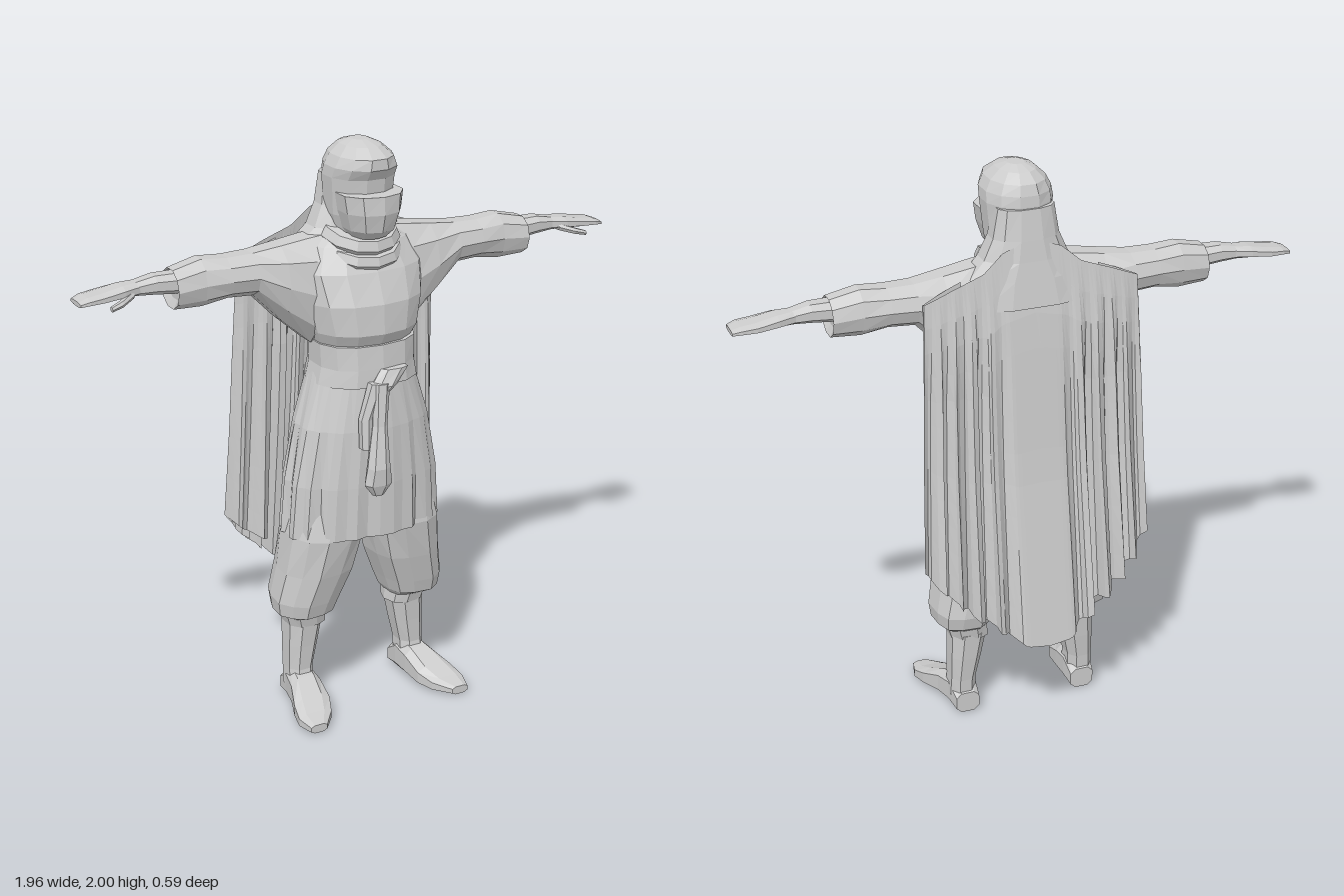
import * as THREE from 'three';

const cloth = new THREE.MeshStandardMaterial({ color: 0xcccccc, flatShading: true, side: THREE.DoubleSide });
cloth.name = 'pale grey cloth';

// Superellipse cross-sections [t, a0, a1, b0, b1] joined along an axis; a and b are bounds.
function loft(name, axis, rings, { n = 10, p = 2.4, caps = true, pleat = () => 1, mirror = 1 } = {}) {
  const pos = [], idx = [];
  const put = (t, a, b) => (axis === 'y' ? pos.push(mirror * a, t, b)
    : axis === 'x' ? pos.push(mirror * t, a, b) : pos.push(mirror * a, b, t));
  const pow = (v) => Math.sign(v) * Math.abs(v) ** (2 / p);
  rings.forEach(([t, a0, a1, b0, b1], r) => {
    for (let i = 0; i < n; i++) {
      const w = (i + 0.5) / n * Math.PI * 2, k = pleat(i, r);
      put(t, (a0 + a1) / 2 + (a1 - a0) / 2 * pow(Math.cos(w)) * k,
        (b0 + b1) / 2 + (b1 - b0) / 2 * pow(Math.sin(w)) * k);
    }
  });
  for (let r = 0; r < rings.length - 1; r++) for (let i = 0; i < n; i++) {
    const a = r * n + i, b = r * n + (i + 1) % n;
    idx.push(a, a + n, b, b, a + n, b + n);
  }
  if (caps) [0, rings.length - 1].forEach((r, e) => {
    const [t, a0, a1, b0, b1] = rings[r], c = pos.length / 3;
    put(t, (a0 + a1) / 2, (b0 + b1) / 2);
    for (let i = 0; i < n; i++) {
      const a = r * n + i, b = r * n + (i + 1) % n;
      idx.push(...(e ? [c, b, a] : [c, a, b]));
    }
  });
  // Turn the surface outward whichever axis or side was used
  const v = (i) => new THREE.Vector3().fromArray(pos, i * 3);
  const o = v(0);
  let vol = 0;
  for (let i = 0; i < idx.length; i += 3) {
    vol += v(idx[i]).sub(o).dot(v(idx[i + 1]).sub(o).cross(v(idx[i + 2]).sub(o)));
  }
  if (vol < 0) idx.reverse();
  return finish(name, pos, idx);
}

function finish(name, pos, idx) {
  let g = new THREE.BufferGeometry();
  g.setAttribute('position', new THREE.Float32BufferAttribute(pos, 3));
  g.setIndex(idx);
  g = g.toNonIndexed();
  g.computeVertexNormals();
  const m = new THREE.Mesh(g, cloth);
  m.name = name;
  return m;
}

// Linear interpolation through [key, value] pairs with rising keys
function along(pts, x) {
  if (x <= pts[0][0]) return pts[0][1];
  for (let i = 1; i < pts.length; i++) {
    if (x <= pts[i][0]) {
      const [x0, y0] = pts[i - 1], [x1, y1] = pts[i];
      return y0 + (y1 - y0) * (x - x0) / (x1 - x0);
    }
  }
  return pts[pts.length - 1][1];
}

// Pleated cape from the shoulders; its outer edges wrap round to the front in loose lobes
function cape() {
  const cols = 80, rows = 12, pos = [], idx = [], bend = 0.74;
  const top = [[0, 1.78], [0.1, 1.75], [0.17, 1.69], [0.28, 1.65], [0.4, 1.6]];
  const hem = [[0, 0.36], [0.08, 0.37], [0.16, 0.43], [0.27, 0.51], [0.36, 0.6], [0.41, 0.67]];
  const back = [[0.36, -0.295], [0.7, -0.245], [1, -0.2], [1.5, -0.155], [1.68, -0.125], [1.78, -0.11]];
  for (let r = 0; r <= rows; r++) for (let c = 0; c <= cols; c++) {
    const u = c / cols * 2 - 1, v = r / rows, s = Math.abs(u);
    const q = Math.min(1, s / bend), k = Math.max(0, (s - bend) / (1 - bend));
    const x = (0.38 + 0.035 * v) * q - 0.14 * k;
    const y = along(top, x) * (1 - v) + (along(hem, x) + 0.06 * k) * v;
    const wave = Math.cos(s * cols / 2 * 1.35 + Math.sin(s * 11) * 0.8);
    const side = Math.min(1, Math.max(0, (x - 0.07) / 0.1)) * Math.min(1, v * 3);
    // Depth runs from the back face to the front of the lobe
    const room = Math.max(0.02, -0.095 - along(back, y));
    const depth = 0.45 * q ** 4 + 0.5 * Math.sqrt(k) + side * (k > 0 ? 0.12 * wave : 0.22 * (1 + wave) * (1 - 0.4 * q ** 4));
    pos.push(Math.sign(u) * (x + 0.006 * side * Math.sin(c * 2.1) * (1 - q ** 8)), y, along(back, y) + room * depth);
  }
  for (let r = 0; r < rows; r++) for (let c = 0; c < cols; c++) {
    const a = r * (cols + 1) + c, b = a + cols + 1;
    idx.push(a, a + 1, b, a + 1, b + 1, b);
  }
  return finish('cape', pos, idx);
}

export function createModel() {
  const model = new THREE.Group();
  model.name = 'robedFigure';

  // Head, face mask and hood drape
  model.add(
    loft('hood', 'y', [[1.66, -0.08, 0.08, -0.1, 0.11], [1.76, -0.108, 0.108, -0.105, 0.14],
      [1.84, -0.115, 0.115, -0.1, 0.15], [1.885, -0.119, 0.119, -0.1, 0.155], [1.92, -0.116, 0.116, -0.097, 0.18],
      [1.955, -0.098, 0.098, -0.085, 0.178], [1.985, -0.065, 0.065, -0.05, 0.13], [2, -0.03, 0.03, 0, 0.07]], { n: 12, p: 2.1 }),
    loft('faceMask', 'y', [[1.69, -0.065, 0.065, 0, 0.16], [1.72, -0.085, 0.085, 0, 0.195],
      [1.78, -0.104, 0.104, 0, 0.21], [1.84, -0.113, 0.113, 0, 0.207]], { n: 10, p: 2.1 }),
    loft('hoodDrape', 'y', [[1.56, -0.25, 0.25, -0.155, 0.04], [1.65, -0.21, 0.21, -0.14, 0.06],
      [1.71, -0.15, 0.15, -0.13, 0.07], [1.78, -0.118, 0.118, -0.12, 0.05], [1.88, -0.1, 0.1, -0.105, 0.02]], { n: 12 }),
  );

  // Scarf rolls round the neck, drooping at the front
  [[0.105, 0.034, 1.69], [0.118, 0.03, 1.645]].forEach(([r, tube, y], i) => {
    const g = new THREE.TorusGeometry(r, tube, 6, 12).rotateX(Math.PI / 2 + 0.3);
    const scarf = new THREE.Mesh(g, cloth);
    scarf.name = 'scarf' + (i + 1);
    scarf.position.set(0, y, 0.035);
    model.add(scarf);
  });

  // Tunic, belt and pleated skirt
  model.add(
    loft('tunic', 'y', [[1.2, -0.17, 0.17, -0.1, 0.19], [1.34, -0.175, 0.175, -0.1, 0.19],
      [1.38, -0.19, 0.19, -0.1, 0.212], [1.48, -0.215, 0.215, -0.115, 0.207], [1.58, -0.23, 0.23, -0.125, 0.165],
      [1.66, -0.19, 0.19, -0.125, 0.12], [1.71, -0.11, 0.11, -0.11, 0.09]], { n: 14, p: 2.2 }),
    loft('belt', 'y', [[1.2, -0.19, 0.19, -0.115, 0.21], [1.26, -0.177, 0.177, -0.11, 0.207],
      [1.34, -0.18, 0.18, -0.105, 0.2]], { n: 14 }),
    loft('skirt', 'y', [[1.23, -0.18, 0.18, -0.11, 0.2], [1.05, -0.24, 0.24, -0.12, 0.215],
      [0.85, -0.282, 0.282, -0.125, 0.217], [0.66, -0.298, 0.298, -0.13, 0.215]],
    { n: 45, p: 2.2, caps: false, pleat: (i, r) => 1 - 0.035 * r * [0, 0.2, 1, 0.1, 0.5][i % 5] }),
    // Sash knot and its hanging tails
    loft('sashKnot', 'y', [[1.17, -0.06, 0, 0.18, 0.24], [1.21, -0.05, 0.04, 0.18, 0.25],
      [1.26, -0.01, 0.09, 0.18, 0.23]], { n: 7 }),
    loft('sashTail', 'y', [[1.22, -0.05, 0.01, 0.19, 0.25], [1.08, -0.06, -0.01, 0.215, 0.265],
      [0.94, -0.09, -0.01, 0.225, 0.295], [0.88, -0.1, 0, 0.225, 0.29], [0.84, -0.07, -0.03, 0.24, 0.275]], { n: 7 }),
    loft('sashLoop', 'y', [[1.22, -0.06, 0, 0.19, 0.24], [1.1, -0.1, -0.05, 0.2, 0.24],
      [1, -0.1, -0.06, 0.205, 0.25]], { n: 6 }),
    cape(),
  );

  for (const s of [1, -1]) {
    const side = new THREE.Group();
    side.name = s > 0 ? 'leftLimbs' : 'rightLimbs';
    const add = (name, axis, rings, opt = {}) => side.add(loft(name, axis, rings, { ...opt, mirror: s }));

    // Wide sleeve, forearm and mitten-like hand
    add('sleeve', 'x', [[0.05, 1.36, 1.71, -0.11, 0.12], [0.18, 1.32, 1.695, -0.125, 0.11],
      [0.28, 1.41, 1.678, -0.12, 0.095], [0.38, 1.515, 1.662, -0.108, 0.075], [0.47, 1.52, 1.66, -0.1, 0.07],
      [0.56, 1.505, 1.668, -0.09, 0.06], [0.66, 1.51, 1.645, -0.08, 0.06], [0.645, 1.54, 1.635, -0.06, 0.045]], { n: 10, p: 2.1 });
    add('forearm', 'x', [[0.62, 1.56, 1.635, -0.06, 0.045], [0.72, 1.57, 1.635, -0.055, 0.035],
      [0.79, 1.575, 1.62, -0.05, 0.025]], { n: 8 });
    add('hand', 'x', [[0.77, 1.575, 1.622, -0.05, 0.025], [0.83, 1.575, 1.618, -0.068, 0.042],
      [0.9, 1.572, 1.605, -0.074, 0.045], [0.95, 1.572, 1.598, -0.068, 0.045], [0.98, 1.57, 1.587, -0.055, 0.035]], { n: 8 });
    add('thumb', 'x', [[0.8, 1.575, 1.6, 0, 0.035], [0.85, 1.562, 1.585, 0.035, 0.065],
      [0.89, 1.555, 1.572, 0.05, 0.072]], { n: 6 });

    // Baggy trouser leg, cuff, shin and foot
    add('trouserLeg', 'y', [[0.9, 0, 0.23, -0.1, 0.15], [0.66, 0.01, 0.285, -0.11, 0.185],
      [0.52, 0.045, 0.305, -0.112, 0.165], [0.41, 0.09, 0.325, -0.115, 0.14], [0.36, 0.11, 0.318, -0.1, 0.125],
      [0.335, 0.13, 0.28, -0.07, 0.08]], { n: 12, pleat: (i, r) => 1 - (r > 1 ? 0.05 * (i % 2) : 0) });
    add('cuff', 'y', [[0.3, 0.125, 0.27, -0.075, 0.068], [0.35, 0.13, 0.285, -0.085, 0.08]], { n: 9 });
    add('shin', 'y', [[0.32, 0.135, 0.27, -0.08, 0.068], [0.22, 0.155, 0.272, -0.072, 0.06],
      [0.13, 0.175, 0.272, -0.062, 0.055], [0.06, 0.175, 0.275, -0.06, 0.07]], { n: 8 });
    add('foot', 'z', [[-0.062, 0.175, 0.265, 0, 0.08], [0, 0.17, 0.275, 0, 0.13], [0.07, 0.17, 0.29, 0, 0.115],
      [0.15, 0.175, 0.32, 0, 0.075], [0.21, 0.2, 0.332, 0, 0.05], [0.27, 0.25, 0.315, 0.004, 0.035]], { n: 8, p: 3 });
    model.add(side);
  }
  return model;
}
